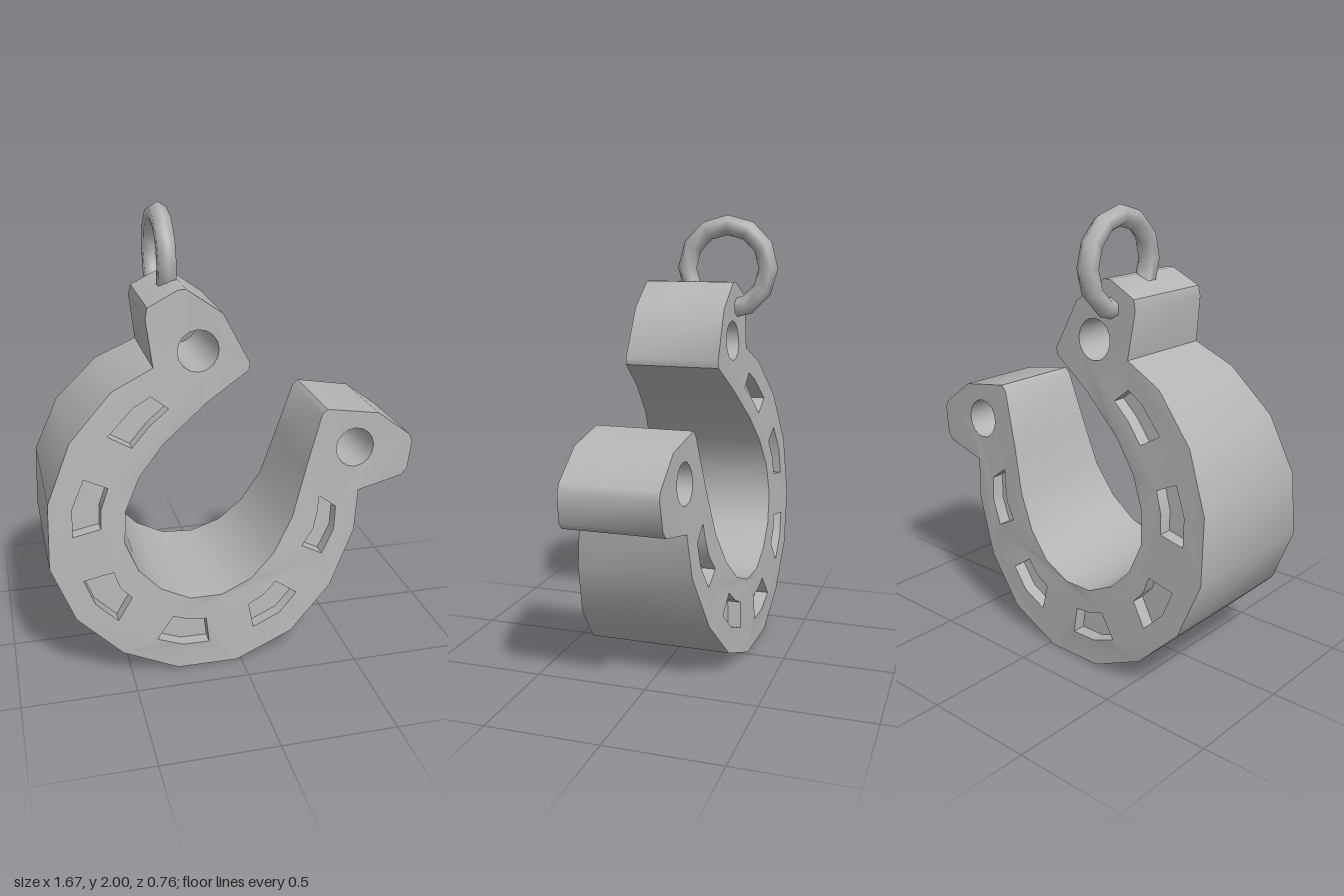
import * as THREE from 'three';
import { toCreasedNormals } from 'three/addons/utils/BufferGeometryUtils.js';

// Horseshoe outline, starting at the top of the upper tip
const OUTLINE = [
  [-0.24, 1.7], [-0.34, 1.65], [-0.37, 1.635], [-0.38, 1.59], [-0.355, 1.385],
  [-0.535, 1.3], [-0.72, 1.105], [-0.825, 0.855], [-0.835, 0.57], [-0.735, 0.32],
  [-0.54, 0.125], [-0.295, 0.01], [-0.02, 0], [0.24, 0.1], [0.435, 0.295],
  [0.555, 0.545], [0.575, 0.735], [0.785, 0.78], [0.815, 0.81], [0.835, 0.94],
  [0.82, 0.975], [0.665, 1.09], [0.42, 1.13], [0.395, 1.105], [0.32, 0.865],
  [0.255, 0.65], [0.165, 0.495], [0.055, 0.39], [-0.085, 0.335], [-0.23, 0.34],
  [-0.36, 0.405], [-0.455, 0.505], [-0.51, 0.64], [-0.5, 0.785], [-0.435, 0.925],
  [-0.325, 1.055], [-0.13, 1.215], [0.06, 1.34], [0.065, 1.37], [-0.05, 1.59], [-0.205, 1.7],
];

// Nail slots sunk into both faces
const SLOTS = [
  [[-0.56, 1.115], [-0.445, 1.225], [-0.37, 1.265], [-0.295, 1.205], [-0.38, 1.14], [-0.46, 1.055]],
  [[-0.67, 0.945], [-0.57, 0.895], [-0.605, 0.805], [-0.61, 0.72], [-0.73, 0.7], [-0.725, 0.825]],
  [[-0.695, 0.495], [-0.565, 0.515], [-0.54, 0.44], [-0.49, 0.385], [-0.555, 0.285], [-0.65, 0.38]],
  [[-0.31, 0.265], [-0.245, 0.24], [-0.16, 0.23], [-0.15, 0.115], [-0.27, 0.12], [-0.385, 0.165]],
  [[0.04, 0.265], [0.11, 0.3], [0.17, 0.355], [0.27, 0.285], [0.185, 0.2], [0.06, 0.15]],
  [[0.385, 0.73], [0.465, 0.67], [0.455, 0.56], [0.395, 0.455], [0.3, 0.505], [0.355, 0.58], [0.375, 0.655]],
];

const HOLES = [[-0.16, 1.44], [0.555, 0.94]];
const SLOT_DEPTH = 0.06;
const CENTRE_Z = 0.022;

// Half thickness along the horseshoe's tilted axis: thick at the bow, thin at the tips
const STATIONS = [[-0.3, 0.365], [-0.15, 0.358], [0, 0.346], [0.3, 0.317], [0.78, 0.25], [1.09, 0.219], [1.3, 0.207]];
function halfThickness(x, y) {
  const t = 0.575 * x + 0.818 * y;
  for (let i = 1; i < STATIONS.length; i++) {
    const [t0, h0] = STATIONS[i - 1], [t1, h1] = STATIONS[i];
    if (t <= t1) return THREE.MathUtils.mapLinear(t, t0, t1, h0, h1);
  }
  return STATIONS.at(-1)[1];
}

const points = (list) => list.map(([x, y]) => new THREE.Vector2(x, y));

// Extrude a shape and bend its two faces to the tapering thickness, less an inset
function taperedSolid(shape, inset) {
  const geo = new THREE.ExtrudeGeometry(shape, { depth: 1, bevelEnabled: false, curveSegments: 8 });
  const p = geo.attributes.position;
  for (let i = 0; i < p.count; i++) {
    const h = halfThickness(p.getX(i), p.getY(i)) - inset;
    p.setZ(i, CENTRE_Z + (p.getZ(i) > 0.5 ? h : -h));
  }
  return toCreasedNormals(geo, 0.7);
}

export function createModel() {
  const group = new THREE.Group();
  const metal = new THREE.MeshStandardMaterial({ color: 0xb4b4b4 });
  metal.name = 'grey metal';
  const add = (geo, name) => {
    const mesh = new THREE.Mesh(geo, metal);
    mesh.name = name;
    group.add(mesh);
    return mesh;
  };

  // Body with round holes through the tips and openings for the slots
  const body = new THREE.Shape(points(OUTLINE));
  for (const [x, y] of HOLES) body.holes.push(new THREE.Path().absarc(x, y, 0.09, 0, Math.PI * 2, true));
  for (const slot of SLOTS) body.holes.push(new THREE.Path(points(slot)));
  add(taperedSolid(body, 0), 'horseshoe');

  // Solid fill that forms the slot floors on both sides
  for (const slot of SLOTS) add(taperedSolid(new THREE.Shape(points(slot)), SLOT_DEPTH), 'slotFloor');

  // Hanging ring passing into the upper tip
  const ring = add(new THREE.TorusGeometry(0.192, 0.045, 6, 12), 'hangingRing');
  ring.rotation.y = Math.PI / 2;
  ring.position.set(-0.25, 1.763, -0.145);

  return group;
}
